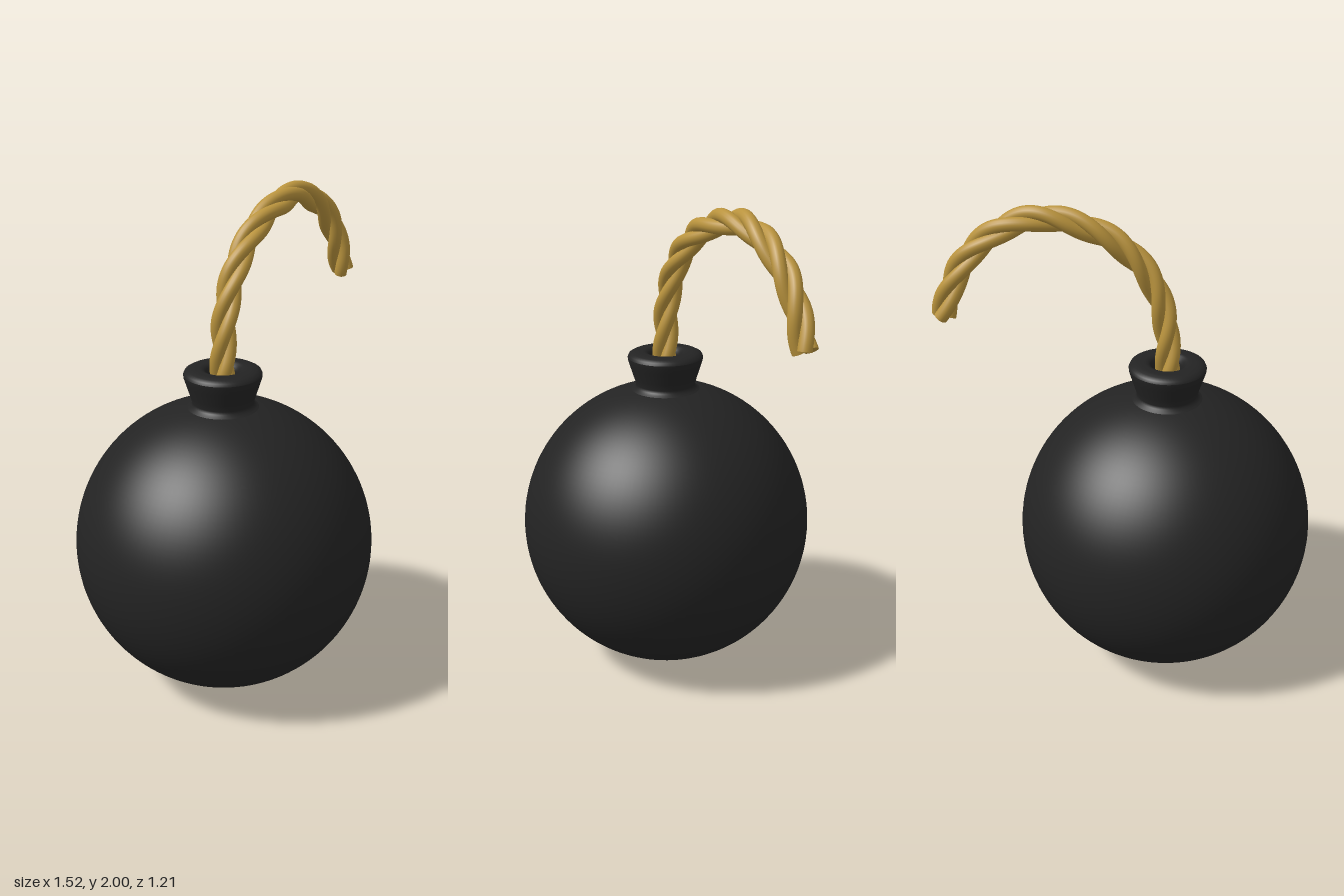
import * as THREE from 'three';

const CX = -0.16; // axis of the ball

// One strand winding right-handed around a planar centre line
class StrandCurve extends THREE.Curve {
  constructor(path, phase, turns, offset) {
    super();
    Object.assign(this, { path, phase, turns, offset });
  }
  getPoint(t, target = new THREE.Vector3()) {
    const z = new THREE.Vector3(0, 0, 1);
    const side = this.path.getTangentAt(t).cross(z);
    const a = this.phase + t * this.turns * Math.PI * 2;
    return target.copy(this.path.getPointAt(t))
      .addScaledVector(z, Math.cos(a) * this.offset)
      .addScaledVector(side, Math.sin(a) * this.offset);
  }
}

export function createModel() {
  const group = new THREE.Group();
  const iron = new THREE.MeshStandardMaterial({ color: 0x232323 });
  iron.name = 'black iron';
  const hemp = new THREE.MeshStandardMaterial({ color: 0xb9933d });
  hemp.name = 'golden rope';

  const add = (name, geometry, material, parent = group) => {
    const mesh = new THREE.Mesh(geometry, material);
    mesh.name = name;
    parent.add(mesh);
    return mesh;
  };

  // Round body
  const ball = add('body', new THREE.SphereGeometry(0.606, 96, 64), iron);
  ball.position.set(CX, 0.606, 0);

  // Flared neck: outer wall, then rim with a rounded hole
  const lathe = (pts) =>
    new THREE.LatheGeometry(pts.map(([r, y]) => new THREE.Vector2(r, y)), 64);
  const neck = new THREE.Group();
  neck.name = 'neck';
  neck.position.x = CX;
  group.add(neck);
  add('neckWall', lathe([
    [0.15, 1.19], [0.135, 1.199], [0.125, 1.207], [0.122, 1.218],
    [0.13, 1.245], [0.146, 1.295], [0.154, 1.32], [0.155, 1.332],
  ]), iron, neck);
  add('neckRim', lathe([
    [0.155, 1.332], [0.15, 1.343], [0.135, 1.351], [0.115, 1.355], [0.09, 1.355],
    [0.077, 1.351], [0.068, 1.342], [0.062, 1.325], [0.06, 1.3], [0.06, 1.22], [0, 1.22],
  ]), iron, neck);

  // Fuse: three strands twisted along an arch
  const path = new THREE.CatmullRomCurve3([
    [CX, 1.23], [CX, 1.38], [-0.14, 1.57], [-0.075, 1.73], [0.04, 1.852], [0.18, 1.922],
    [0.33, 1.948], [0.47, 1.905], [0.59, 1.81], [0.665, 1.69], [0.714, 1.552],
  ].map(([x, y]) => new THREE.Vector3(x, y, 0)), false, 'centripetal');
  path.arcLengthDivisions = 600;

  const fuse = new THREE.Group();
  fuse.name = 'fuse';
  group.add(fuse);
  const radius = 0.027;
  for (let i = 0; i < 3; i++) {
    const strand = new StrandCurve(path, i * Math.PI * 2 / 3, 3.2, 0.0255);
    add('strand' + (i + 1), new THREE.TubeGeometry(strand, 180, radius, 16), hemp, fuse);
    // Cut end of the strand
    const cap = add('strandEnd' + (i + 1), new THREE.CircleGeometry(radius, 16), hemp, fuse);
    cap.position.copy(strand.getPointAt(1));
    cap.quaternion.setFromUnitVectors(new THREE.Vector3(0, 0, 1), strand.getTangentAt(1));
  }
  return group;
}
